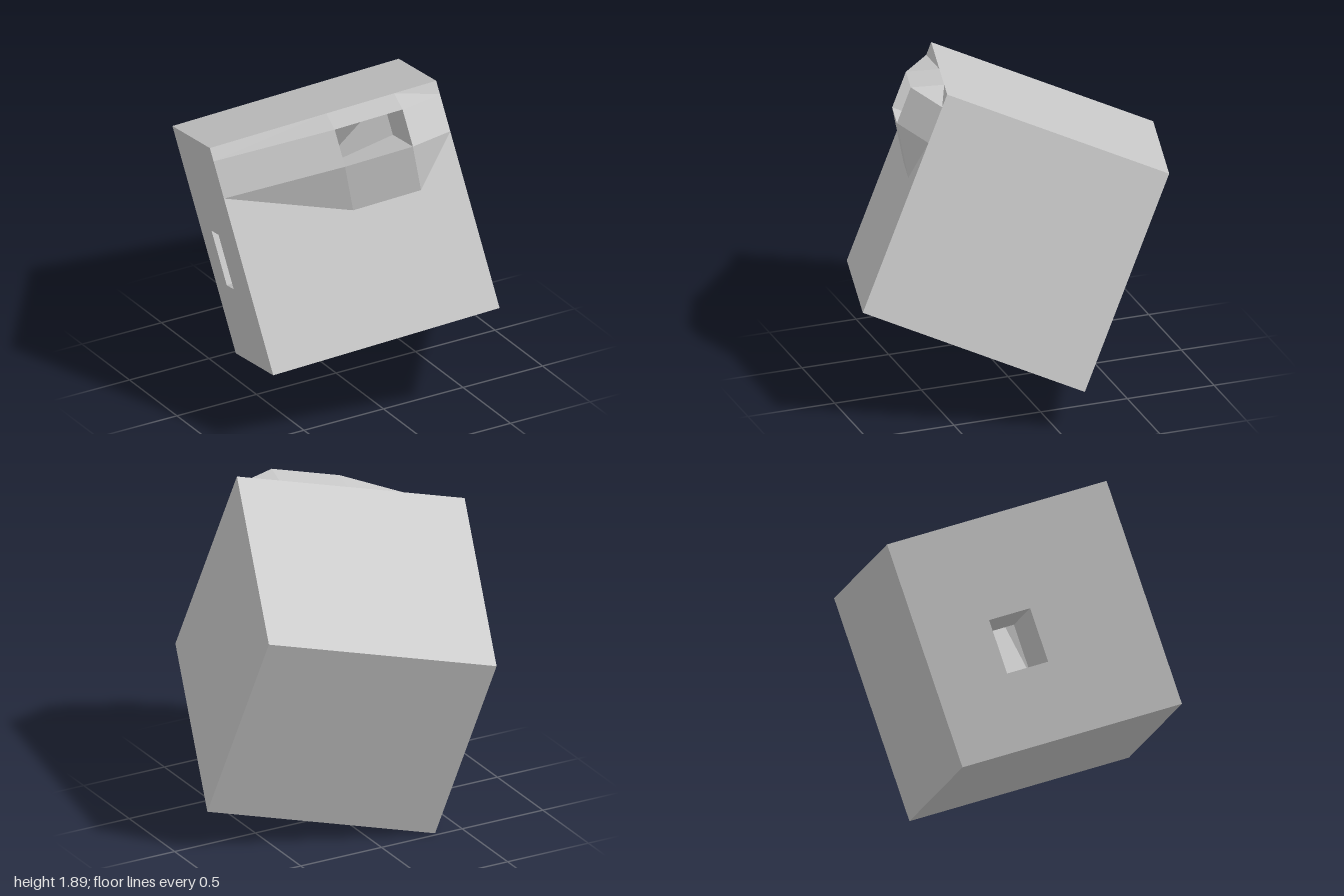
import * as THREE from 'three';

const H = 0.6425; // half the cube's side
const v3 = (x, y, z) => new THREE.Vector3(x, y, z);

// Flat-shaded geometry from polygons given as convex corner loops
function polygons(list) {
  const points = [];
  for (const p of list) {
    for (let i = 1; i < p.length - 1; i++) points.push(p[0], p[i], p[i + 1]);
  }
  const geometry = new THREE.BufferGeometry().setFromPoints(points);
  geometry.computeVertexNormals();
  return geometry;
}

// One square cube face at z = H, optionally with a rectangular hole
function cubeFace(hole) {
  const shape = new THREE.Shape([[-H, -H], [H, -H], [H, H], [-H, H]].map(p => new THREE.Vector2(...p)));
  if (hole) {
    const [x0, x1, y0, y1] = hole;
    shape.holes.push(new THREE.Path([[x0, y0], [x0, y1], [x1, y1], [x1, y0]].map(p => new THREE.Vector2(...p))));
  }
  return new THREE.ShapeGeometry(shape).translate(0, 0, H);
}

export function createModel() {
  const model = new THREE.Group();
  const cube = new THREE.Group();
  cube.name = 'tiltedCube';
  model.add(cube);

  const material = new THREE.MeshStandardMaterial({ color: 0xcccccc, flatShading: true });
  const thin = new THREE.MeshStandardMaterial({ color: 0xcccccc, flatShading: true, side: THREE.DoubleSide });
  const add = (name, geometry, mat = material) => {
    const mesh = new THREE.Mesh(geometry, mat);
    mesh.name = name;
    cube.add(mesh);
  };

  // Openings: x0, x1, y0, y1 in the plane of their face
  const mouth = [0.018, 0.403, 0.357, 0.567];
  const port = [-0.235, 0.005, -0.218, 0.09];

  // Six walls, two of them pierced
  const q = Math.PI / 2;
  add('frontWall', cubeFace(mouth));
  add('backWall', cubeFace().rotateY(Math.PI));
  add('leftWall', cubeFace().rotateY(q));
  add('rightWall', cubeFace(port).rotateY(-q));
  add('topWall', cubeFace().rotateX(-q));
  add('bottomWall', cubeFace().rotateX(q));

  // Faceted spout: two base corners for each corner of its open mouth
  const [x0, x1, y0, y1] = mouth;
  const zMouth = H + 0.165, low = 0.095;
  const rim = [v3(x0, y1, zMouth), v3(x1, y1, zMouth), v3(x1, y0, zMouth), v3(x0, y0, zMouth)];
  const base = [[-H, y1], [x0, H], [x1, H], [H, y1], [H, y0], [x1, low], [x0, low], [-H, y0]]
    .map(([x, y]) => v3(x, y, H));
  const spout = [];
  rim.forEach((corner, i) => {
    const a = base[2 * i], b = base[2 * i + 1], c = base[(2 * i + 2) % 8];
    spout.push([a, corner, b], [b, corner, rim[(i + 1) % 4], c]);
  });
  add('spout', polygons(spout), thin);

  // Passage from the mouth, round a bend, to the port in the right wall
  const [front, back, bottom, top] = [port[1], port[0], port[2], port[3]];
  const portRing = x => [v3(x, top, front), v3(x, top, back), v3(x, bottom, back), v3(x, bottom, front)];
  const bend = rim.map((p, i) => v3(p.x, p.y, i === 0 || i === 3 ? 0.47 : 0.12));
  const rings = [rim, bend, portRing(-0.25), portRing(-H)];
  const passage = [];
  for (let r = 0; r < rings.length - 1; r++) {
    for (let i = 0; i < 4; i++) {
      const j = (i + 1) % 4;
      passage.push([rings[r][i], rings[r + 1][i], rings[r + 1][j], rings[r][j]]);
    }
  }
  add('passage', polygons(passage), thin);

  // Tilt the whole cube so it stands on one corner
  const u = v3(0.94, 0.196, 0.282).normalize();
  const w = u.clone().cross(v3(-0.07, 0.912, -0.405)).normalize();
  const v = w.clone().cross(u);
  cube.quaternion.setFromRotationMatrix(new THREE.Matrix4().makeBasis(u, v, w));
  cube.position.y = H * (u.y + v.y + w.y);
  return model;
}
